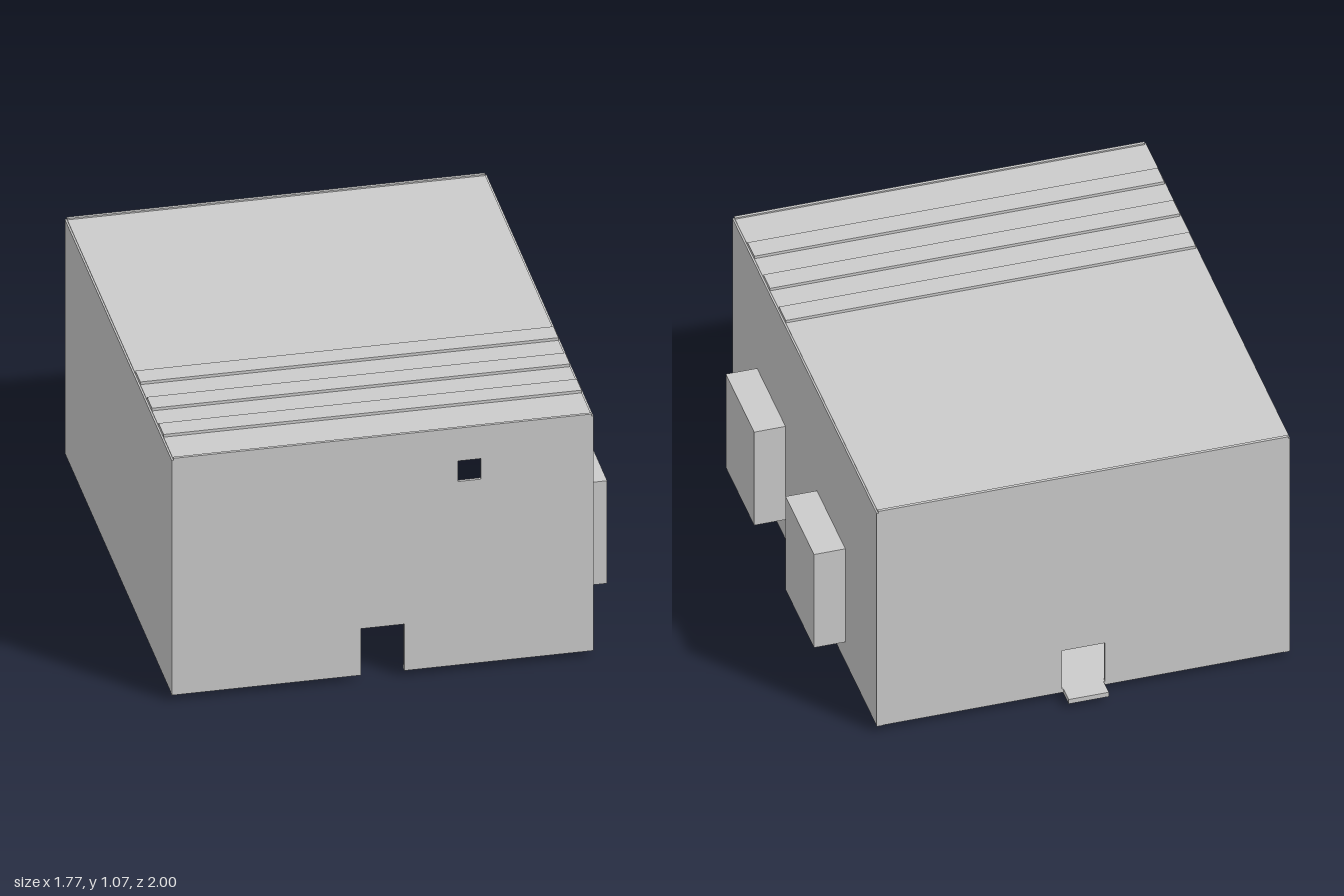
import * as THREE from 'three';

const material = new THREE.MeshStandardMaterial({ color: 0xcccccc, flatShading: true });
const X0 = -0.89, X1 = 0.76, Z0 = -0.93, Z1 = 1.0, Y0 = 0.03, Y1 = 1.055, T = 0.012;

export function createModel() {
  const root = new THREE.Group();
  root.name = 'building';

  const add = (name, geometry, parent = root) => {
    const mesh = new THREE.Mesh(geometry, material);
    mesh.name = name;
    parent.add(mesh);
    return mesh;
  };
  // Box given by its minimum and maximum on each axis
  const box = (name, [x0, x1], [y0, y1], [z0, z1], parent) => {
    const mesh = add(name, new THREE.BoxGeometry(x1 - x0, y1 - y0, z1 - z0), parent);
    mesh.position.set((x0 + x1) / 2, (y0 + y1) / 2, (z0 + z1) / 2);
    return mesh;
  };
  const rect = (PathType, a0, a1, b0, b1) => new PathType([
    new THREE.Vector2(a0, b0), new THREE.Vector2(a1, b0),
    new THREE.Vector2(a1, b1), new THREE.Vector2(a0, b1),
  ]);
  // Thin panel with rectangular openings, drawn in its own plane
  const panel = (name, a0, a1, openings) => {
    const shape = rect(THREE.Shape, a0, a1, Y0, Y1);
    openings.forEach((o) => shape.holes.push(rect(THREE.Path, ...o)));
    return add(name, new THREE.ExtrudeGeometry(shape, { depth: T, bevelEnabled: false }));
  };

  // Front wall, with a doorway reaching the ground edge and a small window
  const front = new THREE.Shape([
    [X0, Y0], [-0.15, Y0], [-0.15, 0.23], [0.02, 0.23], [0.02, Y0], [X1, Y0], [X1, Y1], [X0, Y1],
  ].map(([x, y]) => new THREE.Vector2(x, y)));
  front.holes.push(rect(THREE.Path, 0.23, 0.32, 0.83, 0.92));
  add('frontWall', new THREE.ExtrudeGeometry(front, { depth: T, bevelEnabled: false })).position.z = Z1 - T;

  // Back wall with its doorway
  panel('backWall', X0, X1, [[-0.15, 0.02, 0.045, 0.23]]).position.z = Z0;

  // Side walls: plane coordinate runs along -z after the quarter turn
  const bays = [[0.29, 0.67], [-0.51, -0.13]];
  const left = panel('leftWall', -Z1, -Z0, bays.map(([a, b]) => [-b + 0.01, -a - 0.01, 0.135, 0.565]));
  left.rotation.y = Math.PI / 2;
  left.position.x = X1 - T;
  const right = panel('rightWall', -Z1, -Z0, []);
  right.rotation.y = Math.PI / 2;
  right.position.x = X0;

  // Projecting bays, hollow towards the room
  bays.forEach(([z0, z1]) => {
    const bay = new THREE.Group();
    bay.name = 'sideBay';
    root.add(bay);
    const x = [X1, 0.885], y = [0.125, 0.575];
    box('bayFace', [0.875, 0.885], y, [z0, z1], bay);
    box('bayTop', x, [0.565, 0.575], [z0, z1], bay);
    box('bayBottom', x, [0.125, 0.135], [z0, z1], bay);
    box('bayCheek', x, y, [z0, z0 + 0.01], bay);
    box('bayCheek', x, y, [z1 - 0.01, z1], bay);
  });

  // Roof, edge strips and raised roof bands
  const inset = [X0 + 0.007, X1 - 0.007];
  box('roof', inset, [1.04, 1.058], [Z0 + 0.004, Z1 - 0.004]);
  [[0.73, 0.82], [0.52, 0.61], [0.31, 0.40]].forEach((z) => box('roofBand', inset, [1.05, 1.07], z));
  [[Z0, Z0 + T], [Z1 - T, Z1]].forEach((z) => box('roofEdge', inset, [1.05, 1.064], z));

  // Bottom edge strips; the front one is broken by the doorway
  [[X0, -0.15], [0.02, X1]].forEach((x) => box('baseStrip', x, [0.025, 0.04], [Z1 - 0.025, Z1 - 0.002]));
  [[X0 + 0.002, X0 + 0.025], [X1 - 0.025, X1 - 0.002]].forEach((x) =>
    box('baseStrip', x, [0.027, 0.04], [Z0, Z1 - 0.002]));

  // Partial floor along the back and the outside step
  box('rearFloor', [X0 + 0.004, X1 - 0.004], [0.027, 0.042], [Z0 + 0.002, -0.58]);
  box('step', [-0.145, 0.015], [0.024, 0.045], [-1, Z0 + 0.01]);
  const brace = new THREE.Shape([
    new THREE.Vector2(-0.14, 0.025), new THREE.Vector2(-0.065, 0), new THREE.Vector2(0.01, 0.025),
    new THREE.Vector2(-0.01, 0.025), new THREE.Vector2(-0.065, 0.008), new THREE.Vector2(-0.12, 0.025),
  ]);
  add('stepBrace', new THREE.ExtrudeGeometry(brace, { depth: 0.015, bevelEnabled: false })).position.z = -0.935;
  box('stepStrut', [-0.07, -0.06], [0.005, 0.026], [-0.97, -0.86]);

  // Framing on the inner faces of the front wall
  const fz = [Z1 - T - 0.012, Z1 - T];
  [-0.31, 0.15].forEach((x) => box('frontStud', [x - 0.006, x + 0.006], [Y0, 1.04], fz));
  [0.3, 0.55, 0.8].forEach((y) => box('frontRail', [X0 + T, X1 - T], [y - 0.005, y + 0.005], fz));
  // Small slotted vent above the doorway
  for (let i = 0; i < 5; i++) {
    for (let j = 0; j < 2; j++) {
      const x = -0.12 + i * 0.025, y = 0.35 + j * 0.02;
      box('ventSlot', [x, x + 0.012], [y, y + 0.006], [fz[0] + 0.006, fz[1]]);
    }
  }

  // Framing on the right wall, with stepped rails between the studs
  const rx = [X0 + T, X0 + T + 0.015];
  const studs = [0.74, 0.5, 0.26, 0.02, -0.22, -0.46, -0.7];
  studs.forEach((z, i) => {
    box('sideStud', rx, [Y0, 1.04], [z - 0.008, z + 0.008]);
    if (i === 0 || i === studs.length - 1) return;
    box('steppedRail', rx, [0.5, 0.512], [z - 0.12, z]);
    box('steppedRail', rx, [0.58, 0.592], [z - 0.24, z - 0.12]);
    box('railRiser', rx, [0.5, 0.592], [z - 0.126, z - 0.114]);
  });
  [0.28, 0.8].forEach((y) => box('sideRail', rx, [y - 0.006, y + 0.006], [Z0 + T, Z1 - T]));

  // Wall ladder rungs
  for (let i = 0; i < 14; i++) {
    const y = 0.08 + i * 0.068;
    box('ladderRung', [rx[0], rx[1] + 0.012], [y, y + 0.01], [0.47, 0.53]);
  }

  // Thin ceiling battens
  for (let i = 0; i < 9; i++) {
    const z = 0.85 - i * 0.21;
    box('ceilingBatten', [X0 + T, X1 - T], [1.03, 1.042], [z - 0.006, z + 0.006]);
  }
  return root;
}
